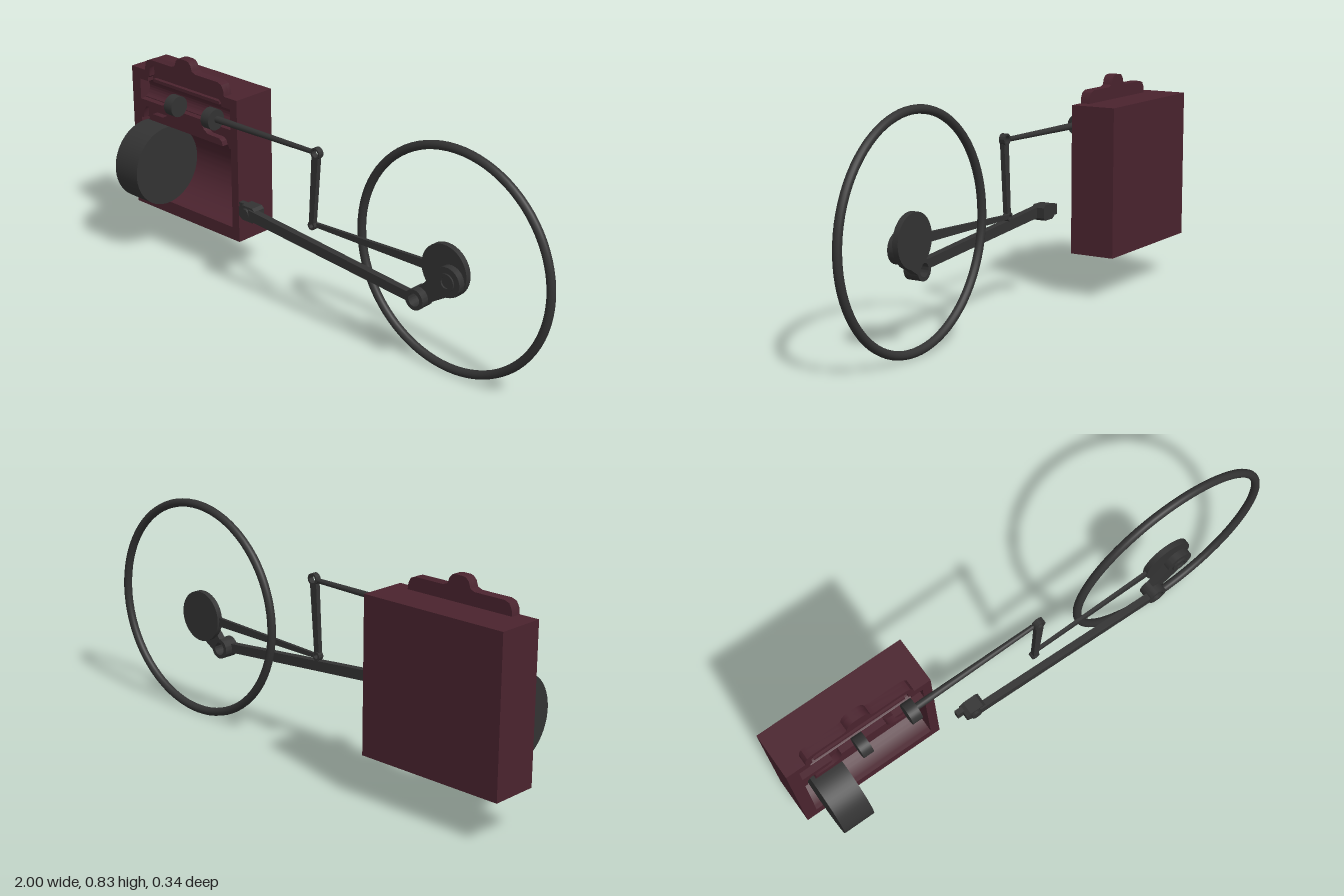
import * as THREE from 'three';
import { toCreasedNormals } from 'three/addons/utils/BufferGeometryUtils.js';

export function createModel() {
  const model = new THREE.Group();
  model.name = 'steamEngineSection';
  const iron = new THREE.MeshStandardMaterial({ color: 0x4a232e });
  iron.name = 'maroon casting';
  const steel = new THREE.MeshStandardMaterial({ color: 0x333333 });
  steel.name = 'dark steel';

  const add = (name, geometry, material, parent = model) => {
    const mesh = new THREE.Mesh(geometry, material);
    mesh.name = name;
    parent.add(mesh);
    return mesh;
  };
  const group = (name) => {
    const g = new THREE.Group();
    g.name = name;
    model.add(g);
    return g;
  };
  const polygon = (points) => new THREE.Shape(points.map(([x, y]) => new THREE.Vector2(x, y)));
  // Extrude a front-facing outline between two depths
  const plate = (shape, z0, z1) => toCreasedNormals(
    new THREE.ExtrudeGeometry(shape, { depth: z1 - z0, bevelEnabled: false, curveSegments: 20 })
      .translate(0, 0, z0), 0.6);
  // Disc, or ring when a hole radius is given
  const disc = (x, y, r, hole, z0, z1) => {
    const s = new THREE.Shape().absarc(x, y, r, 0, Math.PI * 2);
    if (hole) s.holes.push(new THREE.Path().absarc(x, y, hole, 0, Math.PI * 2, true));
    return plate(s, z0, z1);
  };
  // Tapered flat bar between two points
  const bar = (x1, y1, w1, x2, y2, w2, z0, z1) => {
    const d = Math.hypot(x2 - x1, y2 - y1);
    const nx = -(y2 - y1) / d / 2, ny = (x2 - x1) / d / 2;
    return plate(polygon([
      [x1 - nx * w1, y1 - ny * w1], [x2 - nx * w2, y2 - ny * w2],
      [x2 + nx * w2, y2 + ny * w2], [x1 + nx * w1, y1 + ny * w1]]), z0, z1);
  };
  const box = (x0, x1, y0, y1, z0, z1) => new THREE.BoxGeometry(x1 - x0, y1 - y0, z1 - z0)
    .translate((x0 + x1) / 2, (y0 + y1) / 2, (z0 + z1) / 2);
  // Cylinder lying along x
  const axle = (x0, x1, y, z, r0, r1 = r0, sides = 40) => new THREE.CylinderGeometry(r1, r0, x1 - x0, sides)
    .rotateZ(-Math.PI / 2).translate((x0 + x1) / 2, y, z);

  // Cylinder block: side profile with piston bore and valve bore
  const block = group('cylinderBlock');
  const profile = polygon([[-0.005, 0.165], [0.172, 0.165], [0.172, 0.727], [0.02, 0.727]]);
  profile.absarc(0, 0.645, 0.042, 1.075, -1.075, true);
  profile.absarc(-0.005, 0.372, 0.157, 1.411, -Math.PI / 2, true);
  const core = new THREE.ExtrudeGeometry(profile, { depth: 0.49, bevelEnabled: false, curveSegments: 32 })
    .rotateY(Math.PI / 2).translate(-0.955, 0, 0);
  add('boredCore', toCreasedNormals(core, 0.6), iron, block);
  add('rightEndWall', box(-1, -0.955, 0.165, 0.727, -0.172, 0.005), iron, block);
  add('leftEndWall', box(-0.465, -0.43, 0.165, 0.727, -0.172, 0.005), iron, block);

  // Mirror a half outline about the block's middle
  const mid = -0.71;
  const mirrored = (half) => [...half, ...half.map(([x, y]) => [2 * mid - x, y]).reverse()];

  // Steam chest: humped cover with a raised rim
  const hump = [[-0.925, 0.727], [-0.922, 0.75], [-0.912, 0.768], [-0.893, 0.775], [-0.775, 0.775],
    [-0.757, 0.782], [-0.75, 0.803], [-0.738, 0.815], [-0.725, 0.818]];
  add('steamChestBack', plate(polygon(mirrored(hump)), -0.033, -0.018), iron, block);
  const rim = mirrored([[-0.955, 0.685], [-0.955, 0.727], ...hump]);
  const inner = mirrored([[-0.91, 0.685], [-0.91, 0.7], [-0.9, 0.708], [-0.9, 0.738], [-0.893, 0.75], [-0.88, 0.755]]);
  add('steamChestRim', plate(polygon([...rim, ...inner.reverse()]), -0.02, 0.005), iron, block);
  add('steamChestLedge', box(-0.89, -0.53, 0.685, 0.697, -0.02, -0.004), iron, block);

  // Lands that leave the S-shaped steam ports between the two bores
  const outerLand = [[-0.955, 0.605], [-0.955, 0.53], [-0.945, 0.53], [-0.94, 0.562], [-0.925, 0.58],
    [-0.86, 0.582], [-0.842, 0.588], [-0.835, 0.605]];
  add('rightPortLand', plate(polygon(outerLand), -0.02, 0.005), iron, block);
  add('leftPortLand', plate(polygon(outerLand.map(([x, y]) => [2 * mid - x, y])), -0.02, 0.005), iron, block);
  const middleLand = [[-0.912, 0.53], [-0.907, 0.547], [-0.893, 0.556], [-0.835, 0.557], [-0.813, 0.568],
    [-0.803, 0.585], [-0.8, 0.605]];
  add('middlePortLand', plate(polygon(mirrored(middleLand)), -0.02, 0.005), iron, block);

  // Piston, slide valve and valve rod
  add('piston', axle(-0.928, -0.807, 0.372, 0.016, 0.155, 0.155, 64), steel);
  const valve = group('slideValve');
  for (const x of [-0.75, -0.552]) add('valveDisc', axle(x, x + 0.04, 0.64, 0.031, 0.04), steel, valve);
  const rod = axle(-0.24, 0.24, 0, 0, 0.013, 0.009, 16);
  rod.rotateZ(0.012).translate(-0.27, 0.645, 0.028);
  add('valveRod', rod, steel, valve);

  // Rocker link with an eye at each end
  const rocker = group('rockerLink');
  add('topEye', disc(-0.007, 0.65, 0.021, 0.014, 0.02, 0.042), steel, rocker);
  add('bottomEye', disc(-0.026, 0.37, 0.016, 0.009, 0.02, 0.042), steel, rocker);
  add('rockerBar', bar(-0.025, 0.383, 0.022, -0.008, 0.633, 0.03, 0.024, 0.042), steel, rocker);

  // Eccentric and its rod
  add('eccentricRod', bar(-0.015, 0.372, 0.016, 0.5, 0.386, 0.034, 0.018, 0.03), steel);
  add('eccentric', disc(0.57, 0.39, 0.096, 0, 0.01, 0.032), steel);

  // Crank arm with hub and pin eye
  const crank = group('crank');
  add('crankHub', disc(0.604, 0.368, 0.054, 0, 0.03, 0.058), steel, crank);
  add('hubRing', disc(0.604, 0.368, 0.032, 0.02, 0.058, 0.064), steel, crank);
  add('crankArm', bar(0.506, 0.288, 0.062, 0.604, 0.368, 0.095, 0.03, 0.058), steel, crank);
  add('crankPinEye', disc(0.49, 0.275, 0.038, 0.024, 0.03, 0.06), steel, crank);

  // Connecting rod with crosshead
  const conRod = group('connectingRod');
  add('bigEnd', disc(0.49, 0.275, 0.038, 0.024, 0.058, 0.088), steel, conRod);
  add('rodBar', bar(-0.3, 0.343, 0.04, 0.466, 0.277, 0.034, 0.06, 0.086), steel, conRod);
  add('crosshead', plate(polygon([[-0.352, 0.325], [-0.335, 0.312], [-0.283, 0.312], [-0.272, 0.322],
    [-0.272, 0.36], [-0.283, 0.37], [-0.335, 0.37], [-0.352, 0.358]]), 0.03, 0.08), steel, conRod);
  add('crossheadNose', box(-0.375, -0.345, 0.322, 0.362, 0.035, 0.055), steel, conRod);
  add('crossheadPin', disc(-0.315, 0.342, 0.02, 0, 0.08, 0.09), steel, conRod);

  // Flywheel rim
  add('flywheel', new THREE.TorusGeometry(0.402, 0.0155, 14, 80).translate(0.583, 0.42, 0.005), steel);

  return model;
}
